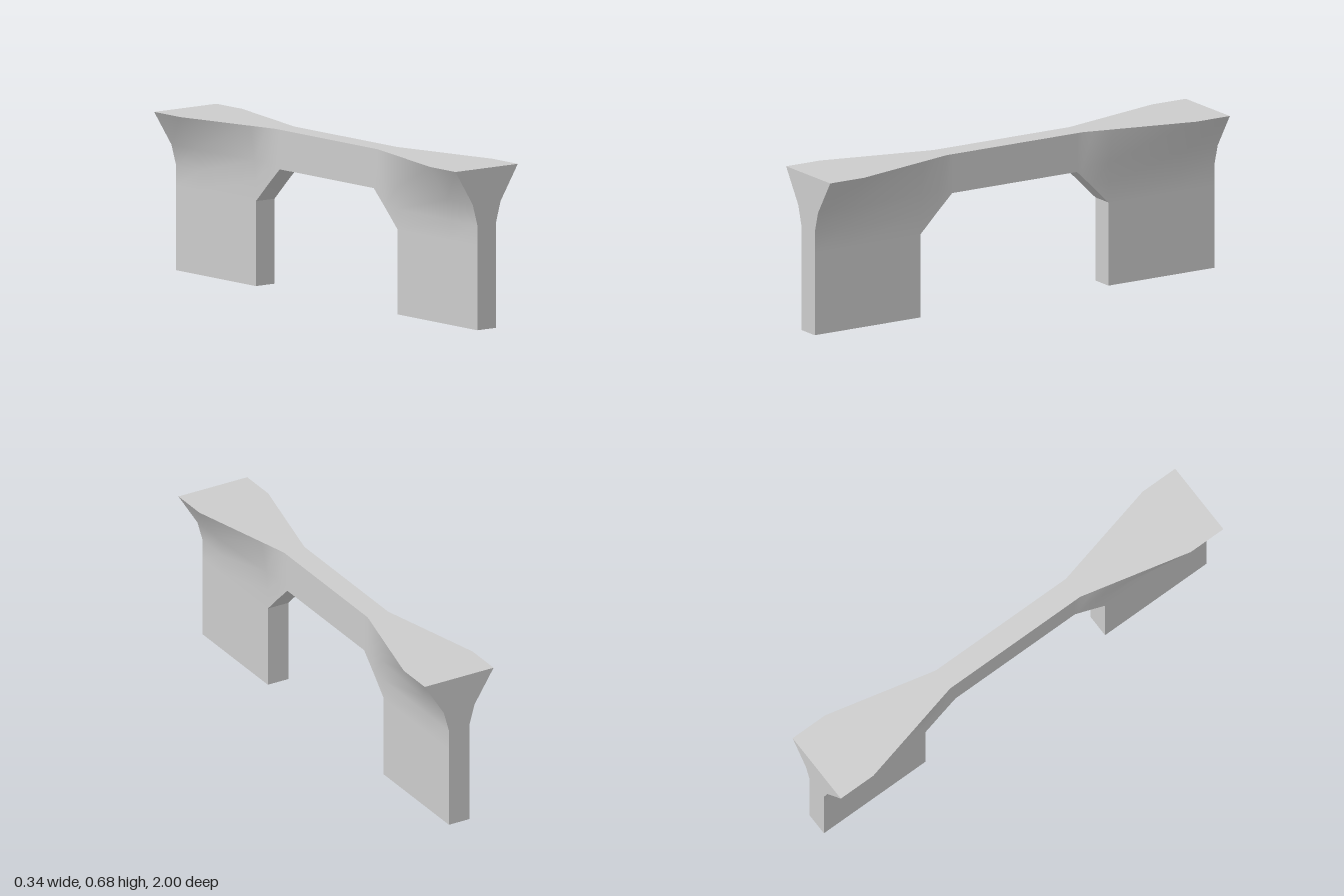
import * as THREE from 'three';
import { toCreasedNormals } from 'three/addons/utils/BufferGeometryUtils.js';

const TOP = 0.683;
const ROWS = [0, 0.36, 0.445, 0.535, TOP];

// Extra half-width of the fully flared end at height y
function flareAt(y) {
  if (y <= 0.445) return 0;
  if (y <= 0.535) return 0.025 * (y - 0.445) / 0.09;
  return 0.025 + 0.093 * (y - 0.535) / (TOP - 0.535);
}

// Half-width of the wall: slim in the middle, flaring towards both ends
function halfWidth(y, z) {
  const t = THREE.MathUtils.clamp((Math.abs(z) - 0.34) / (0.83 - 0.34), 0, 1);
  return 0.05 + t * flareAt(y);
}

// Cross-section loop: up the left side, down the right side
function section([z, bottom]) {
  const ys = ROWS.map((y) => Math.max(y, bottom));
  const left = ys.map((y) => new THREE.Vector3(halfWidth(y, z), y, z));
  const right = left.map((p) => new THREE.Vector3(-p.x, p.y, z)).reverse();
  return [...left, ...right];
}

function loft(sections) {
  const positions = [];
  const tri = (a, b, c) => {
    const area = b.clone().sub(a).cross(c.clone().sub(a)).length();
    if (area > 1e-8) for (const p of [a, b, c]) positions.push(p.x, p.y, p.z);
  };
  const quad = (a, b, c, d) => { tri(a, b, c); tri(a, c, d); };
  const n = sections[0].length;

  // Skin between neighbouring sections
  for (let i = 0; i < sections.length - 1; i++) {
    const s = sections[i], t = sections[i + 1];
    for (let j = 0; j < n; j++) {
      const k = (j + 1) % n;
      quad(s[j], t[j], t[k], s[k]);
    }
  }
  // End faces
  const f = sections[0], b = sections[sections.length - 1];
  for (let j = 0; j < n / 2 - 1; j++) {
    quad(f[j], f[j + 1], f[n - 2 - j], f[n - 1 - j]);
    quad(b[n - 1 - j], b[n - 2 - j], b[j + 1], b[j]);
  }
  const geometry = new THREE.BufferGeometry();
  geometry.setAttribute('position', new THREE.Float32BufferAttribute(positions, 3));
  return toCreasedNormals(geometry, 0.65);
}

export function createModel() {
  // [z, underside height]: leg, chamfered opening, then the slim span
  const half = [[1, 0], [0.83, 0], [0.47, 0], [0.47, 0.36], [0.385, 0.445], [0.34, 0.488], [0.312, 0.515]];
  const stations = [...half, ...half.map(([z, y]) => [-z, y]).reverse()];

  const archWall = new THREE.Mesh(
    loft(stations.map(section)),
    new THREE.MeshStandardMaterial({ color: 0xcccccc })
  );
  archWall.name = 'flaredArchWall';

  const model = new THREE.Group();
  model.name = 'archSupport';
  model.add(archWall);
  return model;
}
